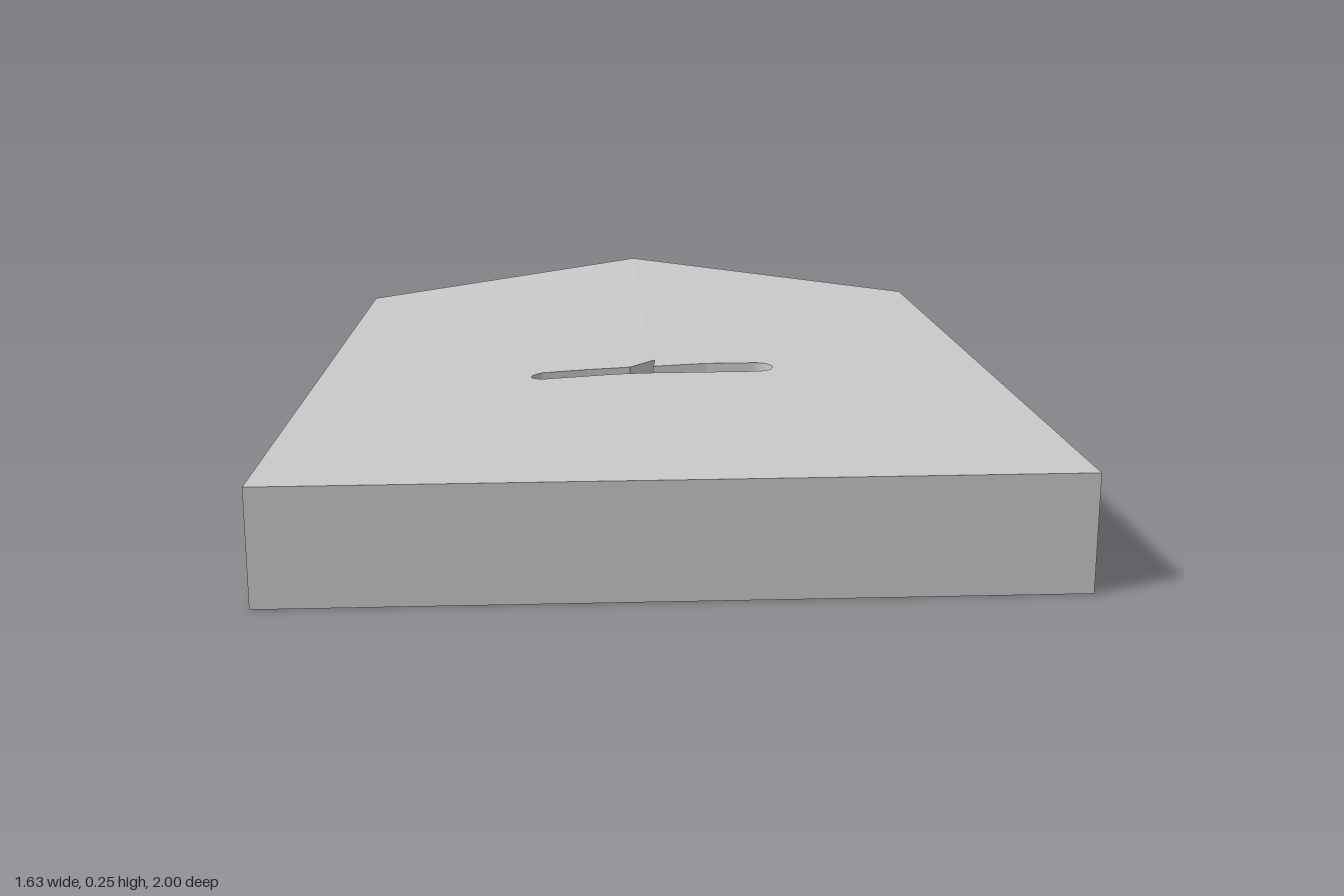
import * as THREE from 'three';

const DEPTH = 0.1;
const SLOPE = 0.0613;

export function createModel() {
  const group = new THREE.Group();
  const material = new THREE.MeshStandardMaterial({ color: 0xcccccc, flatShading: true });
  const add = (name, geometry) => {
    const mesh = new THREE.Mesh(geometry, material);
    mesh.name = name;
    group.add(mesh);
  };

  // Plan points are (x, -z); the main top face slopes down toward the back
  const topY = (z) => 0.25 - SLOPE * (1 - z);
  const onTop = (p) => new THREE.Vector3(p.x, topY(-p.y), -p.y);
  const v2 = ([x, y]) => new THREE.Vector2(x, y);

  const fromTriangles = (points) => {
    const g = new THREE.BufferGeometry().setFromPoints(points);
    g.computeVertexNormals();
    return g;
  };

  // Closed band of quads between two rings
  const band = (lower, upper) => {
    const tris = [];
    lower.forEach((a, i) => {
      const j = (i + 1) % lower.length;
      tris.push(a, lower[j], upper[j], a, upper[j], upper[i]);
    });
    return fromTriangles(tris);
  };

  // Flat shape laid down and tilted to the top slope, with optional offset
  const slopedFace = (shape, dy = 0, dz = 0) => {
    const g = new THREE.ShapeGeometry(shape, 10).rotateX(-Math.PI / 2);
    const pos = g.attributes.position;
    for (let i = 0; i < pos.count; i++) {
      const z = pos.getZ(i);
      pos.setXYZ(i, pos.getX(i), topY(z) + dy, z + dz);
    }
    g.computeVertexNormals();
    return g;
  };

  // Five-sided wedge outline
  const outline = [[-0.815, -1], [0.815, -1], [0.675, 0.635], [0, 1], [-0.675, 0.635]].map(v2);
  const lower = outline.map((p) => new THREE.Vector3(p.x, 0, -p.y));
  const upper = outline.map(onTop);
  upper[3].y = 0.15;
  add('sides', band(lower, upper));
  add('underside', new THREE.ShapeGeometry(new THREE.Shape(outline.slice().reverse()))
    .rotateX(-Math.PI / 2).translate(0, 0, 0));
  const under = group.children[1].geometry;
  // Turn the underside to face down
  const index = under.index.array;
  for (let i = 0; i < index.length; i += 3) [index[i], index[i + 1]] = [index[i + 1], index[i]];
  under.computeVertexNormals();

  // Engraved bent slot with a small pointed barb
  const slot = new THREE.Shape();
  slot.moveTo(-0.25, -0.165);
  slot.lineTo(-0.15, -0.142);
  slot.lineTo(-0.053, -0.125);
  slot.lineTo(0.007, -0.06);
  slot.lineTo(0, -0.12);
  slot.lineTo(0.12, -0.1);
  slot.lineTo(0.23, -0.1);
  slot.absarc(0.23, -0.139, 0.039, Math.PI / 2, -Math.PI / 2, true);
  slot.lineTo(-0.02, -0.179);
  slot.lineTo(-0.09, -0.186);
  slot.lineTo(-0.245, -0.22);
  slot.quadraticCurveTo(-0.274, -0.22, -0.275, -0.2);
  slot.quadraticCurveTo(-0.274, -0.185, -0.25, -0.165);

  // Main top face, notched where the two rear facets meet it
  const fold = v2([0, 0.2]);
  const face = new THREE.Shape([outline[0], outline[1], outline[2], fold, outline[4]]);
  face.holes.push(slot);
  add('topFace', slopedFace(face));
  const f = onTop(fold);
  add('rearFacets', fromTriangles([f, upper[2], upper[3], f, upper[3], upper[4]]));

  // Slot walls run square to the sloping face
  const shift = DEPTH * SLOPE;
  const rim = slot.getPoints(10).slice(0, -1).map(onTop);
  const foot = rim.map((p) => new THREE.Vector3(p.x, p.y - DEPTH, p.z + shift));
  add('slotWalls', band(foot, rim));
  add('slotFloor', slopedFace(slot, -DEPTH, shift));
  return group;
}
